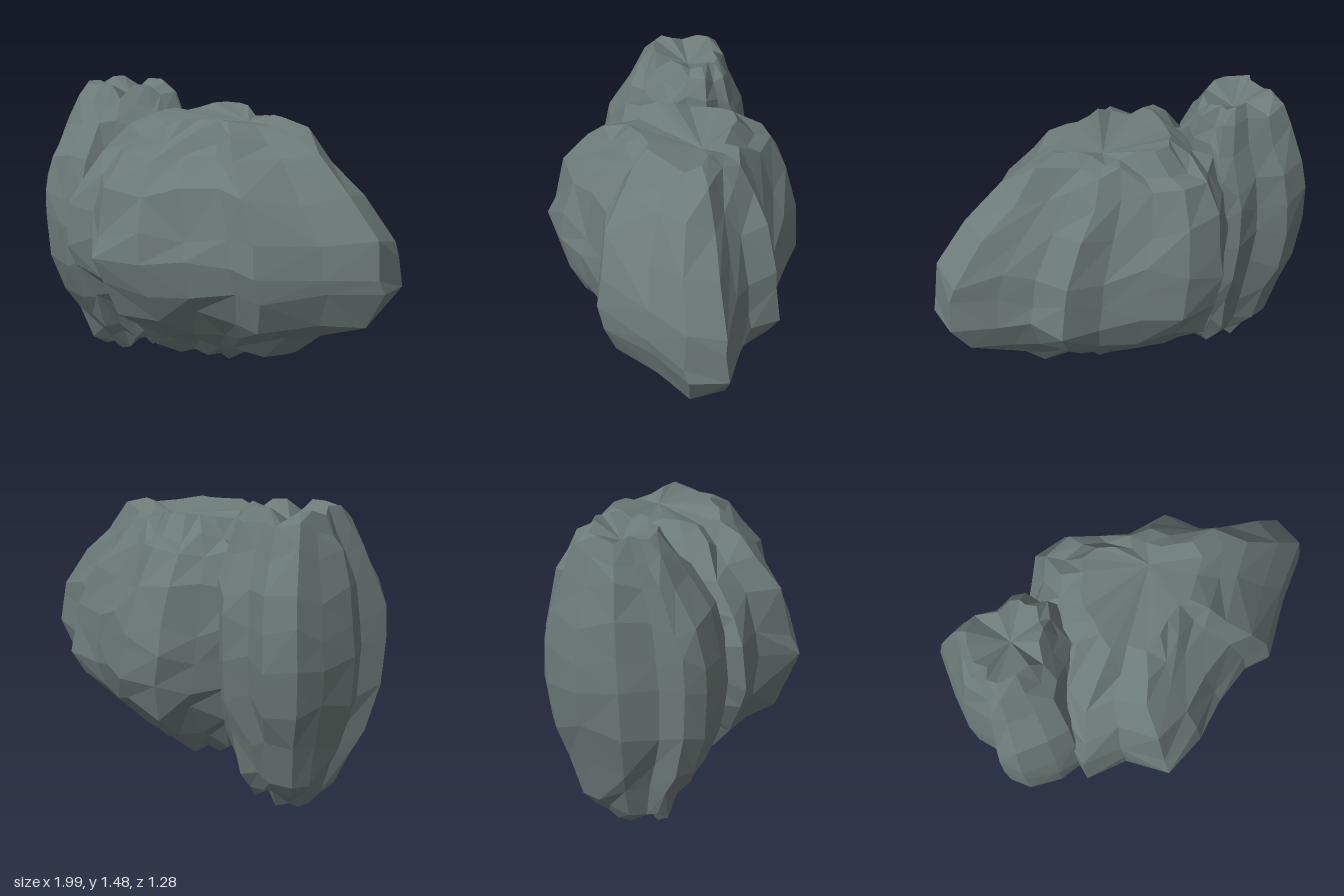
import * as THREE from 'three';

// Seeded random in -1..1
function makeRandom(seed) {
  let s = seed;
  return () => {
    s = (s * 16807) % 2147483647;
    return (s / 2147483647) * 2 - 1;
  };
}

// Lofts a plan outline (counter-clockwise from above) through rows of
// [y, xMin, xMax, zMin, zMax], then closes both ends with uneven caps.
function makeRock({ name, outline, rows, bottom, top, dips, lifts, seed, rough, material }) {
  const random = makeRandom(seed);
  const xs = outline.map((p) => p[0]), zs = outline.map((p) => p[1]);
  const x0 = Math.min(...xs), x1 = Math.max(...xs);
  const z0 = Math.min(...zs), z1 = Math.max(...zs);
  const n = outline.length, last = rows.length - 1;
  const positions = [], index = [];

  rows.forEach(([y, xa, xb, za, zb], r) => {
    const inner = r > 0 && r < last;
    outline.forEach(([px, pz], i) => {
      const u = (px - x0) / (x1 - x0), v = (pz - z0) / (z1 - z0);
      // Chips push inward, so the overall size holds
      const chip = 1 - (inner ? rough : rough * 0.5) * (1 + random());
      const cx = (xa + xb) / 2, cz = (za + zb) / 2;
      let py = y + (inner ? random() * 0.045 : 0);
      if (r === last) py -= dips[i % dips.length];
      if (r === 0) py += lifts[i % lifts.length];
      positions.push(cx + (xa + u * (xb - xa) - cx) * chip, py, cz + (za + v * (zb - za) - cz) * chip);
    });
  });

  for (let r = 0; r < last; r++) {
    for (let i = 0; i < n; i++) {
      const j = (i + 1) % n;
      const a = r * n + i, b = r * n + j, c = b + n, d = a + n;
      // Alternate the diagonals for irregular facets
      if (random() > -0.2) index.push(a, b, c, a, c, d);
      else index.push(a, b, d, b, c, d);
    }
  }

  // End caps
  const low = positions.length / 3, high = low + 1;
  positions.push(...bottom, ...top);
  for (let i = 0; i < n; i++) {
    const j = (i + 1) % n;
    index.push(low, j, i, high, last * n + i, last * n + j);
  }

  const indexed = new THREE.BufferGeometry();
  indexed.setAttribute('position', new THREE.Float32BufferAttribute(positions, 3));
  indexed.setIndex(index);
  const geometry = indexed.toNonIndexed();
  geometry.computeVertexNormals();
  const mesh = new THREE.Mesh(geometry, material);
  mesh.name = name;
  return mesh;
}

export function createModel() {
  const group = new THREE.Group();
  group.name = 'rocks';
  const stone = new THREE.MeshStandardMaterial({ color: 0x6c7a78, flatShading: true });
  stone.name = 'grey stone';

  // Broad boulder with a pointed end
  group.add(makeRock({
    name: 'largeRock',
    material: stone,
    seed: 41,
    rough: 0.016,
    outline: [
      [1, 0.03], [0.8, -0.08], [0.67, -0.18], [0.6, -0.35], [0.4, -0.39], [0.22, -0.51],
      [0.05, -0.63], [-0.17, -0.64], [-0.3, -0.52], [-0.45, -0.4], [-0.58, -0.2], [-0.62, 0],
      [-0.68, 0.17], [-0.7, 0.37], [-0.5, 0.43], [-0.38, 0.63], [-0.14, 0.61], [0.07, 0.53],
      [0.3, 0.49], [0.45, 0.53], [0.74, 0.35], [0.97, 0.22],
    ],
    rows: [
      [0.12, -0.25, 0.3, -0.16, 0.16],
      [0.21, -0.4, 0.46, -0.28, 0.27],
      [0.34, -0.51, 0.66, -0.43, 0.4],
      [0.46, -0.59, 0.9, -0.57, 0.53],
      [0.59, -0.67, 1, -0.64, 0.61],
      [0.74, -0.7, 0.98, -0.64, 0.64],
      [0.88, -0.7, 0.96, -0.63, 0.61],
      [1.07, -0.65, 0.8, -0.58, 0.55],
      [1.22, -0.56, 0.62, -0.49, 0.42],
      [1.31, -0.43, 0.49, -0.4, 0.34],
      [1.39, -0.3, 0.35, -0.3, 0.24],
    ],
    dips: [0, 0, 0.02, 0.05, 0.04, 0, 0, 0, 0, 0.02, 0.03],
    lifts: [0.03, 0, 0.02, 0, 0.05, 0.07, 0.02, 0],
    bottom: [0.03, 0.22, 0],
    top: [0.13, 1.34, -0.08],
  }));

  // Tall fluted rock leaning against it
  group.add(makeRock({
    name: 'tallRock',
    material: stone,
    seed: 97,
    rough: 0.02,
    outline: [
      [-0.87, -0.54], [-0.93, -0.4], [-0.98, -0.2], [-0.93, -0.02], [-1, 0.1], [-0.95, 0.2],
      [-0.8, 0.28], [-0.68, 0.29], [-0.6, 0.2], [-0.5, 0.14], [-0.4, 0.05], [-0.38, -0.08],
      [-0.32, -0.22], [-0.38, -0.33], [-0.38, -0.43], [-0.45, -0.49], [-0.58, -0.48], [-0.71, -0.57],
    ],
    rows: [
      [0, -0.75, -0.45, -0.29, -0.01],
      [0.09, -0.81, -0.41, -0.35, 0.06],
      [0.2, -0.87, -0.37, -0.42, 0.13],
      [0.37, -0.92, -0.32, -0.48, 0.21],
      [0.58, -0.98, -0.3, -0.54, 0.28],
      [0.78, -1, -0.3, -0.57, 0.3],
      [0.95, -0.99, -0.3, -0.57, 0.28],
      [1.1, -0.97, -0.3, -0.54, 0.23],
      [1.3, -0.92, -0.32, -0.46, 0.12],
      [1.4, -0.88, -0.37, -0.41, 0.04],
      [1.48, -0.83, -0.43, -0.36, -0.03],
    ],
    dips: [0, 0, 0.03, 0, 0, 0.01, 0, 0, 0.06],
    lifts: [0.03, 0, 0, 0.05, 0.06, 0],
    bottom: [-0.6, 0.07, -0.15],
    top: [-0.62, 1.4, -0.2],
  }));

  return group;
}
